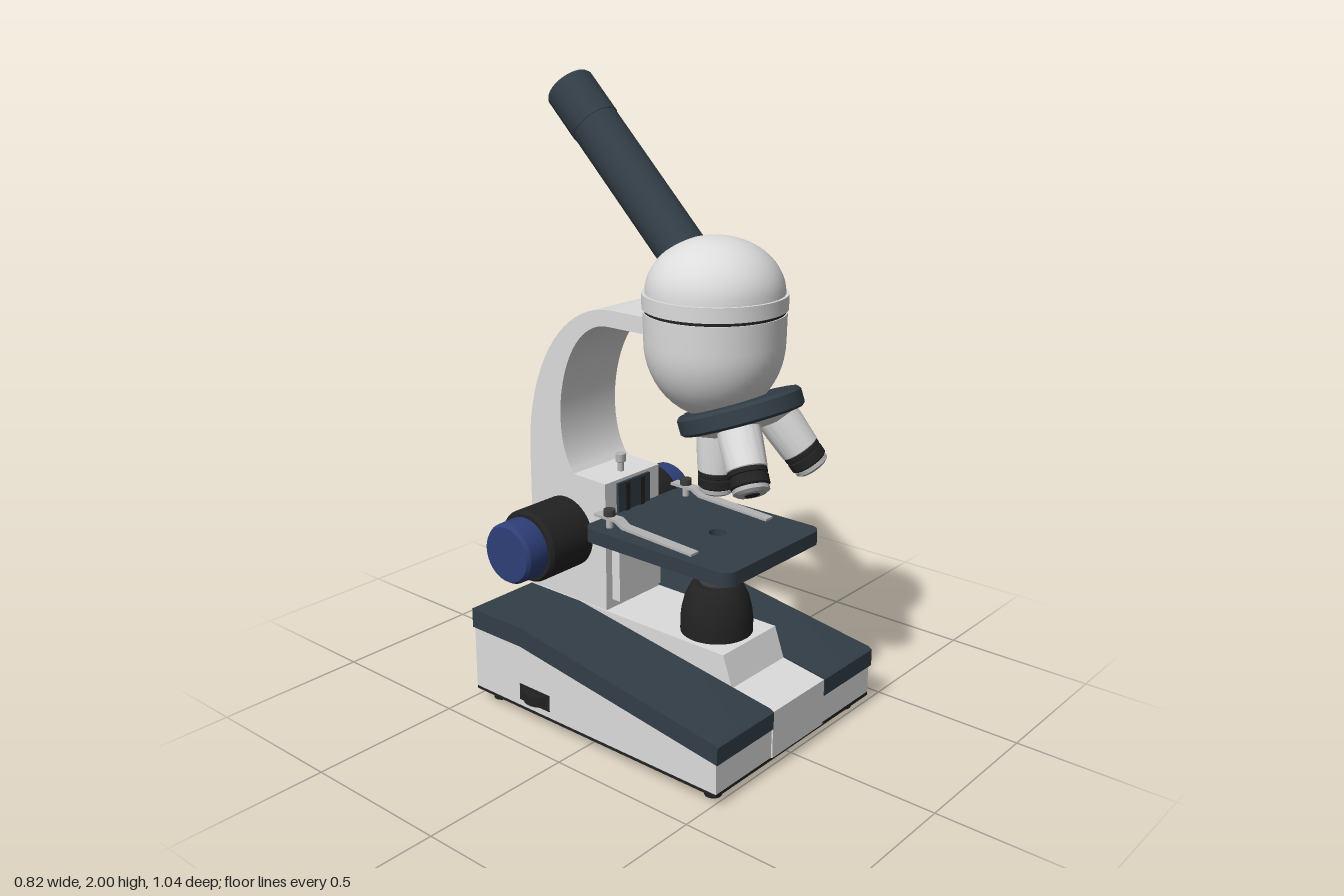
import * as THREE from 'three';
import { toCreasedNormals } from 'three/addons/utils/BufferGeometryUtils.js';

const paint = (name, color) => Object.assign(new THREE.MeshStandardMaterial({ color }), { name });

export function createModel() {
  const white = paint('white enamel', 0xdcdcdc);
  const slate = paint('dark slate', 0x333e47);
  const black = paint('black plastic', 0x222222);
  const blue = paint('blue rubber', 0x2e3f78);
  const metal = paint('metal', 0xb4b4b4);
  const grey = paint('dark grey', 0x3c3c3c);

  const model = new THREE.Group();
  model.name = 'microscope';
  const body = new THREE.Group();
  body.name = 'body';
  body.position.x = 0.008;
  model.add(body);

  const add = (name, geo, mat, x = 0, y = 0, z = 0, parent = body) => {
    const mesh = new THREE.Mesh(geo, mat);
    mesh.name = name;
    mesh.position.set(x, y, z);
    parent.add(mesh);
    return mesh;
  };
  const box = (name, mat, w, h, d, x, y, z) => add(name, new THREE.BoxGeometry(w, h, d), mat, x, y, z);
  const cyl = (r, h, r2 = r) => new THREE.CylinderGeometry(r, r2, h, 40);
  const lathe = (pts) => toCreasedNormals(
    new THREE.LatheGeometry(pts.map(([r, y]) => new THREE.Vector2(r, y)), 48), 0.55);
  // Side outline in (z, y), extruded across x
  const across = (shape, x0, x1) => {
    const geo = new THREE.ExtrudeGeometry(shape, { depth: x1 - x0, bevelEnabled: false, curveSegments: 20 });
    geo.rotateY(-Math.PI / 2).translate(x1, 0, 0);
    return toCreasedNormals(geo, 0.5);
  };
  const outline = (pts) => new THREE.Shape(pts.map(([z, y]) => new THREE.Vector2(z, y)));

  // Base: white wedge, slate covers on both sides, raised centre
  add('baseShell', across(outline([[-0.485, 0.045], [0.515, 0.045], [0.515, 0.145], [-0.27, 0.258], [-0.485, 0.258]]), -0.395, 0.395), white);
  const cover = outline([[0.522, 0.143], [0.522, 0.198], [0.51, 0.206], [-0.265, 0.32], [-0.49, 0.32], [-0.49, 0.255], [-0.27, 0.255]]);
  add('rightBaseCover', across(cover, -0.4, -0.132), slate);
  add('leftBaseCover', across(cover, 0.132, 0.4), slate);
  add('baseCentre', across(outline([[-0.487, 0.045], [0.52, 0.045], [0.52, 0.198], [0.365, 0.222], [0.33, 0.32], [-0.487, 0.32]]), -0.132, 0.132), white);
  box('bottomPlate', black, 0.79, 0.012, 1.0, 0, 0.041, 0.015);
  box('bottomHatch', grey, 0.3, 0.004, 0.3, 0, 0.034, 0);
  for (const x of [-0.338, 0.338]) for (const z of [0.46, -0.43]) {
    add('foot', cyl(0.032, 0.04, 0.026), black, x, 0.02, z);
  }

  // Rear panel, switch, power socket and brightness wheel
  box('rearPanel', black, 0.48, 0.125, 0.008, -0.01, 0.122, -0.488);
  add('powerSwitch', across(outline([[-0.49, 0.105], [-0.49, 0.17], [-0.522, 0.165], [-0.505, 0.135], [-0.515, 0.11]]), 0.055, 0.125), black);
  add('powerSocket', cyl(0.026, 0.012), metal, -0.12, 0.125, -0.491).rotation.x = Math.PI / 2;
  add('powerPin', cyl(0.012, 0.015), grey, -0.12, 0.125, -0.492).rotation.x = Math.PI / 2;
  box('wheelSlot', black, 0.006, 0.055, 0.13, -0.395, 0.095, -0.215);
  add('brightnessWheel', cyl(0.06, 0.035), black, -0.362, 0.095, -0.215);

  // Column and curved arm
  const arm = new THREE.Shape();
  arm.moveTo(-0.15, 0.31);
  arm.lineTo(-0.15, 0.75);
  arm.lineTo(-0.285, 0.755);
  arm.bezierCurveTo(-0.325, 0.8, -0.34, 0.87, -0.34, 0.94);
  arm.bezierCurveTo(-0.34, 1.08, -0.27, 1.26, -0.13, 1.26);
  arm.lineTo(0.07, 1.26);
  arm.lineTo(0.07, 1.312);
  arm.lineTo(-0.12, 1.312);
  arm.bezierCurveTo(-0.34, 1.31, -0.482, 1.06, -0.482, 0.8);
  arm.lineTo(-0.482, 0.31);
  add('arm', across(arm, -0.128, 0.128), white);
  box('rackSlot', slate, 0.15, 0.38, 0.012, 0, 0.55, -0.147);
  for (const x of [-0.035, 0.035]) box('rackRail', black, 0.02, 0.37, 0.012, x, 0.55, -0.142);
  box('slidePlate', white, 0.2, 0.245, 0.035, 0, 0.472, -0.135);
  box('stageBracket', white, 0.2, 0.035, 0.1, 0, 0.577, -0.105);
  add('stopScrew', lathe([[0, 0], [0.01, 0], [0.01, 0.03], [0.017, 0.034], [0.017, 0.06], [0, 0.064]]), metal, 0, 0.75, -0.2);

  // Focus knobs
  for (const s of [-1, 1]) {
    const knob = new THREE.Group();
    knob.name = s < 0 ? 'rightFocusKnob' : 'leftFocusKnob';
    knob.position.set(s * 0.12, 0.55, -0.325);
    knob.rotation.z = -s * Math.PI / 2;
    body.add(knob);
    add('coarseKnob', lathe([[0, 0], [0.112, 0], [0.118, 0.008], [0.118, 0.178], [0.11, 0.19], [0, 0.19]]), black, 0, 0, 0, knob);
    add('fineKnob', lathe([[0.098, 0.185], [0.1, 0.2], [0.098, 0.262], [0.09, 0.274], [0, 0.276]]), blue, 0, 0, 0, knob);
  }

  // Stage: rounded plate with a light hole
  const [w, z0, z1, r] = [0.235, -0.15, 0.425, 0.04];
  const plate = new THREE.Shape();
  plate.moveTo(-w + r, z0);
  plate.lineTo(w - r, z0);
  plate.absarc(w - r, z0 + r, r, -Math.PI / 2, 0);
  plate.absarc(w - r, z1 - r, r, 0, Math.PI / 2);
  plate.absarc(-w + r, z1 - r, r, Math.PI / 2, Math.PI);
  plate.absarc(-w + r, z0 + r, r, Math.PI, Math.PI * 1.5);
  plate.holes.push(new THREE.Path().absarc(0, 0.2, 0.028, 0, Math.PI * 2, true));
  const stage = new THREE.ExtrudeGeometry(plate, { depth: 0.045, bevelEnabled: false, curveSegments: 10 });
  add('stage', toCreasedNormals(stage.rotateX(Math.PI / 2), 0.5), slate, 0, 0.642, 0);

  // Spring clips with their posts
  const clip = outline([[-0.13, 0.672], [-0.045, 0.672], [-0.015, 0.656], [0.26, 0.643], [0.26, 0.65], [-0.01, 0.664], [-0.04, 0.681], [-0.13, 0.681]]);
  for (const x of [-0.184, 0.184]) {
    add('stageClip', across(clip, x - 0.018, x + 0.018), metal);
    add('clipPost', cyl(0.011, 0.05), metal, x, 0.662, -0.08);
    add('clipScrew', cyl(0.019, 0.02), grey, x, 0.692, -0.08);
  }

  // Diaphragm disc under the stage, with apertures of different sizes
  add('diaphragm', cyl(0.19, 0.025), black, 0.083, 0.572, 0.13);
  add('diaphragmHub', cyl(0.025, 0.014), metal, 0.083, 0.557, 0.13);
  for (let i = 0; i < 6; i++) {
    const a = i * Math.PI / 3 + 2.4;
    add('aperture', cyl(0.022 + i * 0.005, 0.004), grey, 0.083 + Math.cos(a) * 0.115, 0.559, 0.13 + Math.sin(a) * 0.115);
  }

  // Lamp housing
  add('lamp', lathe([[0.114, 0.315], [0.114, 0.36], [0.11, 0.395], [0.1, 0.435], [0.083, 0.47], [0.072, 0.48], [0, 0.48]]), black, 0, 0, 0.2);
  add('lampLens', cyl(0.055, 0.006), grey, 0, 0.481, 0.2);

  // Head: egg-shaped lower shell, dark seam, band and dome
  const arc = (n, fn) => Array.from({ length: n + 1 }, (_, i) => fn(i / n * Math.PI / 2));
  const lower = arc(14, (t) => [0.211 * Math.sin(t), 1.25 - 0.235 * Math.cos(t)]);
  add('headLower', lathe([...lower, [0.213, 1.335], [0.2, 1.335]]), white, 0, 0, 0.18);
  add('headSeam', cyl(0.209, 0.02), black, 0, 1.34, 0.18);
  const dome = arc(14, (t) => [0.207 * Math.cos(t), 1.39 + 0.165 * Math.sin(t)]);
  add('headDome', lathe([[0.2, 1.345], [0.216, 1.345], [0.216, 1.39], ...dome]), white, 0, 0, 0.18);

  // Eyepiece tube, tilted back by 45 degrees
  const tube = new THREE.Group();
  tube.name = 'eyepieceTube';
  tube.position.set(0, 1.4, 0.152);
  tube.rotation.x = -Math.PI / 4;
  body.add(tube);
  add('tube', cyl(0.0755, 0.63), slate, 0, 0.315, 0, tube);
  add('eyepiece', lathe([[0.07, 0.625], [0.078, 0.625], [0.078, 0.77], [0.073, 0.778], [0.066, 0.778], [0.03, 0.762], [0, 0.762]]), slate, 0, 0, 0, tube);
  add('eyeLens', cyl(0.027, 0.004), black, 0, 0.765, 0, tube);

  // Tilted nosepiece carrying three objectives
  const tilt = 0.358;
  const nose = new THREE.Group();
  nose.name = 'nosepiece';
  nose.position.set(0, 1.047, 0.28);
  nose.rotation.x = -tilt;
  body.add(nose);
  add('turret', lathe([[0, -0.03], [0.18, -0.03], [0.189, -0.022], [0.189, 0.02], [0.18, 0.03], [0, 0.03]]), slate, 0, 0, 0, nose);
  add('turretPlate', lathe([[0, -0.055], [0.1, -0.055], [0.165, -0.03]]), white, 0, 0, 0, nose);
  add('turretClick', new THREE.BoxGeometry(0.05, 0.07, 0.014), black, 0, -0.005, -0.19, nose);
  for (let i = 0; i < 3; i++) {
    const spin = new THREE.Group();
    spin.name = 'objective';
    spin.rotation.y = i * Math.PI * 2 / 3;
    nose.add(spin);
    const lens = new THREE.Group();
    lens.position.set(0, -0.02, -0.098);
    lens.rotation.x = tilt;
    spin.add(lens);
    add('barrel', lathe([[0.05, -0.155], [0.06, -0.145], [0.064, -0.06], [0.064, 0], [0, 0]]), white, 0, 0, 0, lens);
    add('grip', lathe([[0, -0.2], [0.052, -0.2], [0.058, -0.195], [0.058, -0.17], [0.054, -0.168], [0.054, -0.164], [0.058, -0.162], [0.058, -0.148], [0, -0.148]]), black, 0, 0, 0, lens);
    add('tip', lathe([[0, -0.22], [0.042, -0.22], [0.054, -0.212], [0.054, -0.2], [0, -0.2]]), metal, 0, 0, 0, lens);
    add('frontLens', cyl(0.022, 0.004), black, 0, -0.221, 0, lens);
  }
  return model;
}
